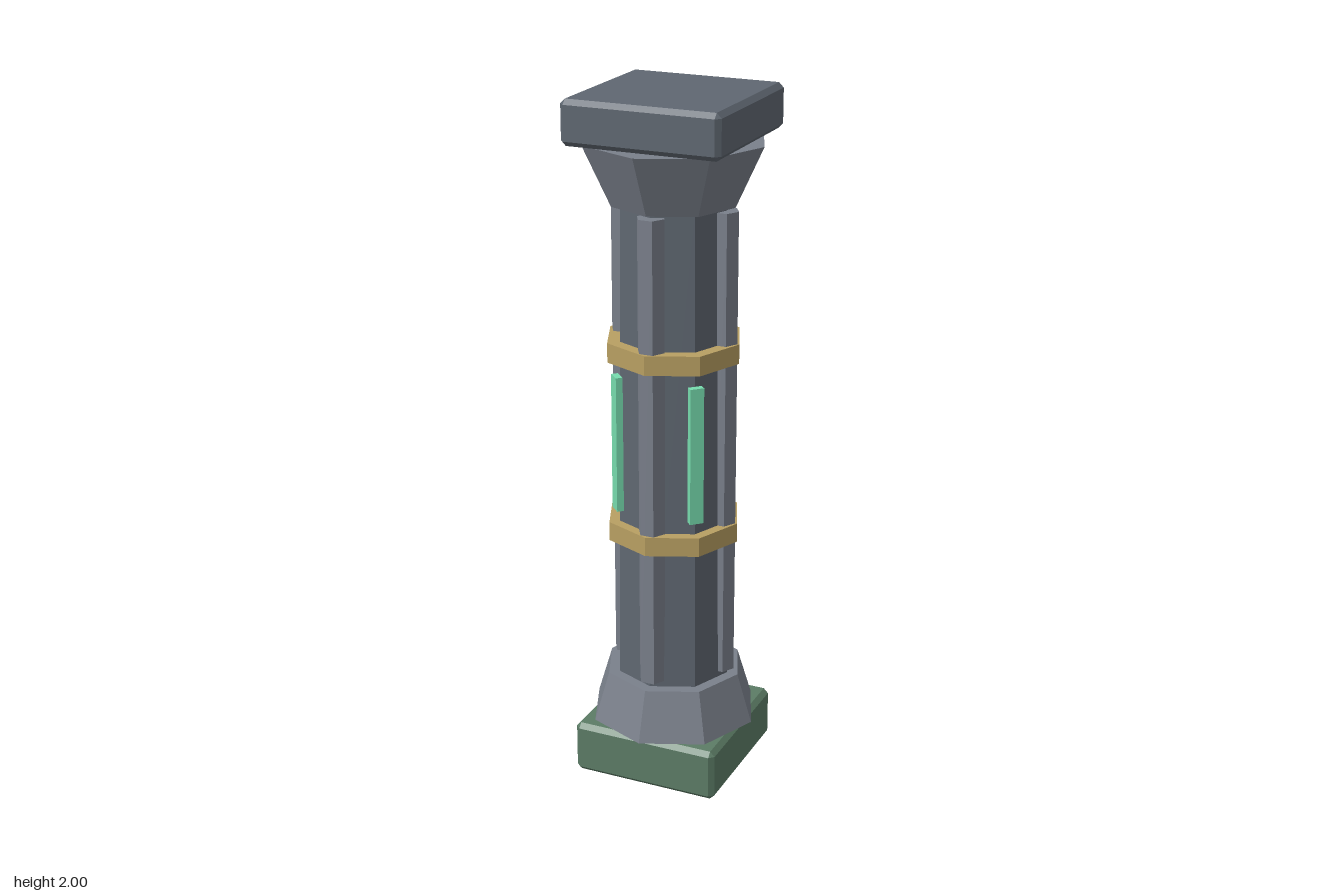
import * as THREE from 'three';
import { ConvexGeometry } from 'three/addons/geometries/ConvexGeometry.js';

const paint = (color) => new THREE.MeshStandardMaterial({ color, flatShading: true });
const slate = paint(0x5f6771), stone = paint(0x7a808b), moss = paint(0x5c7c66);
const gold = paint(0xb89f62), glow = paint(0x77dcae);

// Box with every edge cut by a single flat chamfer
function chamferBox(w, h, d, c) {
  const points = [];
  for (const sx of [-1, 1]) for (const sy of [-1, 1]) for (const sz of [-1, 1]) {
    for (let axis = 0; axis < 3; axis++) {
      const cut = [c, c, c];
      cut[axis] = 0;
      points.push(new THREE.Vector3(sx * (w / 2 - cut[0]), sy * (h / 2 - cut[1]), sz * (d / 2 - cut[2])));
    }
  }
  return new ConvexGeometry(points);
}

export function createModel() {
  const model = new THREE.Group();
  model.name = 'column';

  const add = (name, geometry, material, x, y, z, turn = 0) => {
    const mesh = new THREE.Mesh(geometry, material);
    mesh.name = name;
    mesh.position.set(x, y, z);
    mesh.rotation.y = turn;
    model.add(mesh);
  };
  // Eight-sided drum between two heights, corners on the axes
  const drum = (name, material, y0, y1, r0, r1) =>
    add(name, new THREE.CylinderGeometry(r1, r0, y1 - y0, 8), material, 0, (y0 + y1) / 2, 0);

  // Square plinth and top slab
  add('plinth', chamferBox(0.44, 0.155, 0.44, 0.014), moss, 0, 0.0775, 0);
  add('topSlab', chamferBox(0.456, 0.125, 0.456, 0.014), slate, 0, 1.9375, 0);

  // Flared base, tapered shaft and flared capital
  drum('baseFlare', stone, 0.155, 0.303, 0.248, 0.203);
  drum('shaft', slate, 0.3, 1.705, 0.17, 0.155);
  drum('capital', stone, 1.7, 1.872, 0.18, 0.26);

  // Gold bands
  drum('lowerBand', gold, 0.727, 0.783, 0.196, 0.196);
  drum('upperBand', gold, 1.262, 1.318, 0.196, 0.196);

  // Hexagonal ribs on the axes, glowing strips on the diagonals
  const rib = new THREE.CylinderGeometry(0.04, 0.04, 1.37, 6);
  const strip = new THREE.BoxGeometry(0.04, 0.4, 0.02);
  for (let i = 0; i < 4; i++) {
    const a = (i * Math.PI) / 2, b = a + Math.PI / 4;
    add('rib', rib, stone, Math.sin(a) * 0.15, 1.005, Math.cos(a) * 0.15, Math.PI / 6);
    add('glowStrip', strip, glow, Math.sin(b) * 0.169, 1.02, Math.cos(b) * 0.169, b);
  }
  return model;
}
